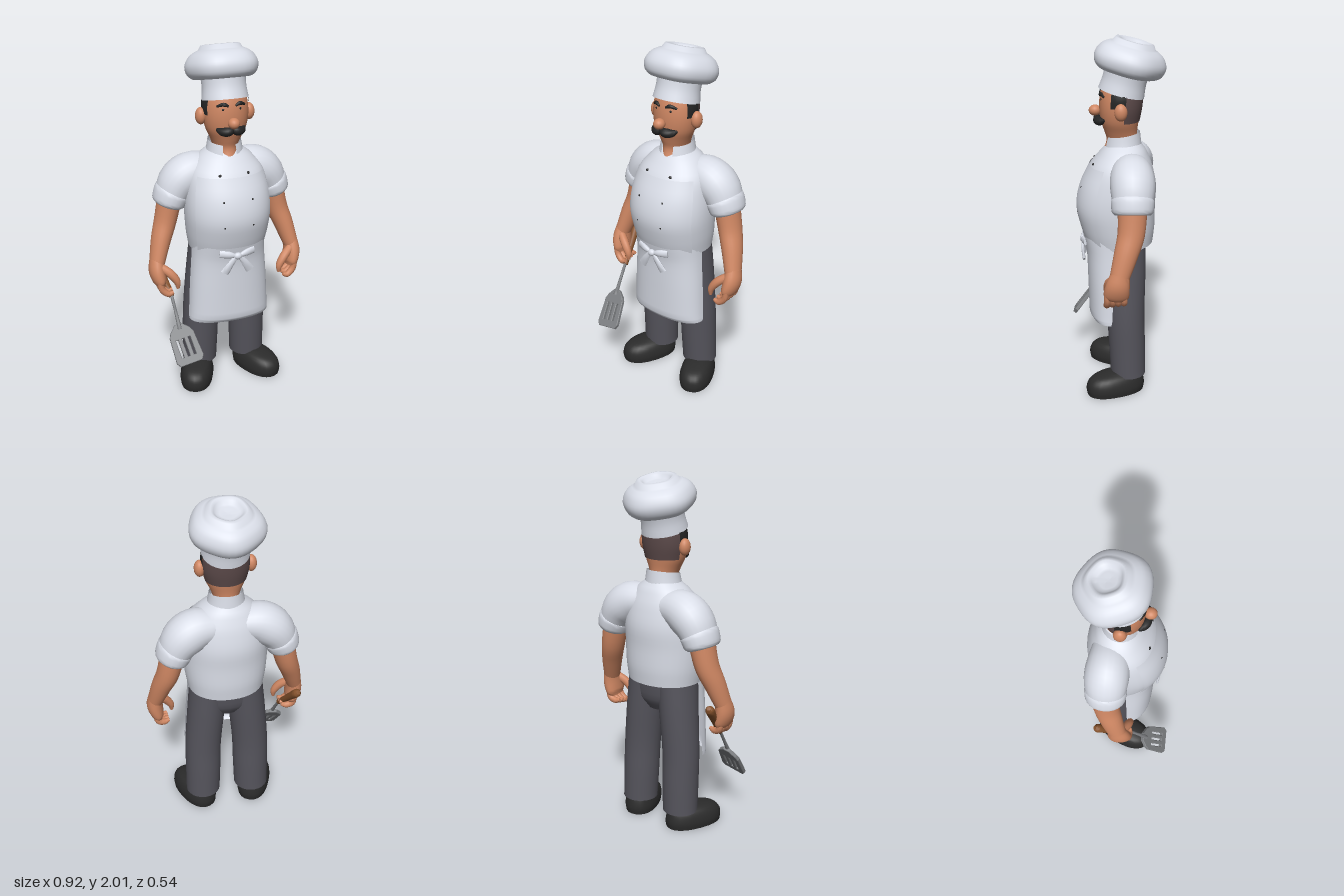
import * as THREE from 'three';
import { toCreasedNormals } from 'three/addons/utils/BufferGeometryUtils.js';

const material = (name, color, side = THREE.FrontSide) => {
  const m = new THREE.MeshStandardMaterial({ color, side });
  m.name = name;
  return m;
};
const V = (x, y, z) => new THREE.Vector3(x, y, z);

// Smooth skin through cross-sections [x, y, z, radiusU, radiusV].
// level: rings stay horizontal; arc: open part of the ring; n: squareness; lobes: waviness.
function loft(sections, { level = false, arc = null, n = 2, seg = 24, steps = 4, lobes = 0, crease = 0.9 } = {}) {
  const path = new THREE.CatmullRomCurve3(sections.map(s => V(s[0], s[1], s[2])));
  const radii = new THREE.CatmullRomCurve3(sections.map(s => V(s[3], s[4] ?? s[3], 0)), false, 'catmullrom', 0.5);
  const rings = (sections.length - 1) * steps;
  const [a0, a1] = arc ?? [0, Math.PI * 2];
  const cols = arc ? seg + 1 : seg;
  const pos = [], idx = [];
  for (let i = 0; i <= rings; i++) {
    const c = path.getPoint(i / rings), r = radii.getPoint(i / rings);
    const t = level ? V(0, 1, 0) : path.getTangent(i / rings);
    const u = t.clone().cross(V(0, 0, 1)).normalize();
    const v = t.clone().cross(u);
    for (let j = 0; j < cols; j++) {
      const a = a0 + (a1 - a0) * j / seg;
      const pw = w => Math.sign(w) * Math.abs(w) ** (2 / n) * (1 + lobes * Math.sin(5 * a));
      const p = c.clone().addScaledVector(u, pw(Math.cos(a)) * Math.max(r.x, 0.0005))
        .addScaledVector(v, pw(Math.sin(a)) * Math.max(r.y, 0.0005));
      pos.push(p.x, p.y, p.z);
    }
  }
  for (let i = 0; i < rings; i++) {
    for (let j = 0; j < seg; j++) {
      const a = i * cols + j, b = i * cols + (j + 1) % cols;
      idx.push(a, b, a + cols, b, b + cols, a + cols);
    }
  }
  if (!arc) {
    const last = rings * cols;
    for (let j = 1; j < cols - 1; j++) idx.push(0, j + 1, j, last, last + j, last + j + 1);
  }
  const g = new THREE.BufferGeometry();
  g.setAttribute('position', new THREE.Float32BufferAttribute(pos, 3));
  g.setIndex(idx);
  return toCreasedNormals(g, crease);
}

export function createModel() {
  const model = new THREE.Group();
  model.name = 'cook';
  const cloth = material('white cloth', 0xdce0ea, THREE.DoubleSide);
  const skin = material('skin', 0xcf8763);
  const trouser = material('grey trousers', 0x55545c);
  const leather = material('black leather', 0x2b2b2b);
  const dark = material('black hair', 0x252525);
  const stubble = material('short hair', 0x5c4a4a);
  const steel = material('steel', 0x7d7f82);
  const wood = material('wood', 0x85522c);

  const add = (name, geo, mat, parent = model) => {
    const m = new THREE.Mesh(geo, mat);
    m.name = name;
    parent.add(m);
    return m;
  };
  const ball = (name, mat, [x, y, z], [sx, sy, sz], parent) => {
    const m = add(name, new THREE.SphereGeometry(1, 20, 14), mat, parent);
    m.position.set(x, y, z);
    m.scale.set(sx, sy, sz);
    return m;
  };

  // Jacket
  const torso = [
    [0, 0.87, -0.03, 0.215, 0.185], [0, 0.96, -0.02, 0.23, 0.205], [0, 1.08, -0.008, 0.24, 0.218],
    [0, 1.2, -0.02, 0.235, 0.21], [0, 1.32, -0.035, 0.21, 0.17], [0, 1.4, -0.05, 0.145, 0.12], [0, 1.44, -0.055, 0.09, 0.085],
  ];
  add('jacket', loft(torso, { level: true, n: 2.15, seg: 36 }), cloth);
  const collar = add('collar', loft([[0, -0.05, 0.01, 0.112, 0.108], [0, 0, 0, 0.1, 0.1], [0, 0.045, -0.01, 0.092, 0.092]],
    { level: true, arc: [-Math.PI / 2 + 0.4, Math.PI * 1.5 - 0.4] }), cloth);
  collar.position.set(0, 1.44, -0.045);
  collar.rotation.x = 0.16;

  // Apron: bib over the belly, skirt panel and bow
  const bib = torso.slice(0, 5).map(([x, y, z, a, b]) => [x, y, z, a + 0.006, b + 0.006]);
  add('apronBib', loft(bib, { level: true, n: 2.15, arc: [-Math.PI + 0.5, -0.5] }), cloth);
  add('apronSkirt', loft([
    [0, 0.43, 0.015, 0.238, 0.115], [0, 0.455, 0.01, 0.238, 0.137], [0, 0.65, 0.005, 0.228, 0.148],
    [0, 0.82, 0, 0.215, 0.16], [0, 0.92, -0.005, 0.21, 0.186],
  ], { level: true, n: 2.3, arc: [-Math.PI, 0] }), cloth);
  const bow = new THREE.Group();
  bow.name = 'apronBow';
  model.add(bow);
  ball('knot', cloth, [0, 0.872, 0.182], [0.024, 0.02, 0.018], bow);

  // Buttons
  for (const y of [1.06, 1.2, 1.33]) {
    for (const s of [-1, 1]) {
      const z = { 1.06: 0.206, 1.2: 0.188, 1.33: 0.123 }[y];
      ball('button', dark, [s * 0.08, y, z - 0.008], [0.009, 0.009, 0.007]);
    }
  }

  // Head and face
  add('head', loft([
    [0, 1.37, -0.025, 0.06, 0.1], [0, 1.45, -0.04, 0.068, 0.085], [0, 1.5, -0.033, 0.085, 0.09], [0, 1.56, -0.027, 0.112, 0.104],
    [0, 1.63, -0.028, 0.125, 0.113], [0, 1.7, -0.033, 0.122, 0.114], [0, 1.76, -0.04, 0.108, 0.105],
  ], { level: true, seg: 32 }), skin);
  ball('nose', skin, [0, 1.615, 0.108], [0.032, 0.03, 0.034]);
  add('shortHair', loft([
    [0, 1.56, -0.03, 0.114, 0.106], [0, 1.63, -0.033, 0.128, 0.116], [0, 1.7, -0.038, 0.126, 0.117], [0, 1.74, -0.04, 0.118, 0.11],
  ], { level: true, arc: [0.2, Math.PI - 0.2] }), stubble);
  for (const [from, to] of [[-0.45, 0.25], [Math.PI - 0.25, Math.PI + 0.45]]) {
    add('sideHair', loft([[0, 1.645, -0.031, 0.13, 0.118], [0, 1.69, -0.034, 0.131, 0.12], [0, 1.735, -0.036, 0.122, 0.117]],
      { level: true, arc: [from, to], seg: 8 }), dark);
  }

  // Tall hat, tipped backwards
  const hat = new THREE.Group();
  hat.name = 'hat';
  hat.position.set(0, 1.712, -0.035);
  hat.rotation.x = -0.25;
  model.add(hat);
  add('hatBand', loft([[0, 0, 0, 0.128], [0, 0.07, 0, 0.12], [0, 0.15, 0, 0.125]], { level: true, seg: 32 }), cloth, hat);
  add('hatPuff', loft([
    [0, 0.125, 0, 0.115], [0, 0.11, 0, 0.15], [0, 0.135, 0, 0.187], [0, 0.185, 0, 0.197], [0, 0.235, 0, 0.17],
    [0, 0.263, 0, 0.12], [0, 0.263, 0, 0.06], [0, 0.258, 0, 0.001],
  ], { level: true, seg: 40, lobes: 0.025, crease: 1.5 }), cloth, hat);

  // Hips
  add('hips', loft([[0, 0.7, -0.06, 0.1, 0.07], [0, 0.77, -0.055, 0.19, 0.115], [0, 0.92, -0.045, 0.205, 0.14]], { level: true }), trouser);

  // Everything that comes in pairs
  for (const s of [-1, 1]) {
    const limb = (name, pts, mat, opt, parent) => add(name, loft(pts.map(([x, ...r]) => [x * s, ...r]), opt), mat, parent);

    limb('trouserLeg', [
      [0.15, 0.1, -0.08, 0.102, 0.1], [0.146, 0.28, -0.073, 0.105, 0.104], [0.142, 0.45, -0.065, 0.106, 0.106],
      [0.12, 0.7, -0.057, 0.108, 0.118], [0.1, 0.9, -0.045, 0.108, 0.13],
    ], trouser, { level: true });
    const shoe = add('shoe', loft([
      [0, 0, 0, 0.094, 0.168], [0, 0.035, 0, 0.098, 0.173], [0, 0.075, -0.002, 0.091, 0.165],
      [0, 0.105, -0.015, 0.075, 0.14], [0, 0.125, -0.045, 0.045, 0.08],
    ], { level: true, n: 2.3 }), leather);
    shoe.position.set(s * 0.19, 0, -0.007);
    shoe.rotation.y = s * 0.4;

    limb('sleeve', [
      [0.08, 1.31, -0.09, 0.09, 0.1], [0.18, 1.295, -0.095, 0.114, 0.117], [0.25, 1.25, -0.1, 0.113, 0.12], [0.305, 1.16, -0.1, 0.09, 0.105],
    ], cloth);
    limb('sleeveCuff', [
      [0.282, 1.205, -0.1, 0.09, 0.1], [0.29, 1.19, -0.1, 0.101, 0.115], [0.312, 1.135, -0.1, 0.094, 0.11], [0.317, 1.12, -0.1, 0.08, 0.095],
    ], cloth);
    limb('arm', [
      [0.3, 1.18, -0.1, 0.07, 0.08], [0.337, 1.02, -0.093, 0.063, 0.073], [0.372, 0.92, -0.067, 0.056, 0.065], [0.41, 0.79, -0.03, 0.043, 0.052],
    ], skin);

    // Hand with curled fingers
    const hand = new THREE.Group();
    hand.name = 'hand';
    model.add(hand);
    limb('palm', [
      [0.408, 0.82, -0.038, 0.04, 0.05], [0.412, 0.75, -0.023, 0.046, 0.065], [0.4, 0.69, -0.015, 0.038, 0.068], [0.39, 0.665, -0.012, 0.022, 0.05],
    ], skin, {}, hand);
    for (let f = 0; f < 4; f++) {
      const z = 0.032 - f * 0.03;
      limb('finger', [
        [0.41, 0.71, z, 0.018], [0.4, 0.655, z, 0.019], [0.365, 0.622 + f * 0.006, z + 0.005, 0.018], [0.335, 0.63 + f * 0.006, z + 0.008, 0.01],
      ], skin, { seg: 10 }, hand);
    }
    limb('thumb', [
      [0.395, 0.78, 0, 0.024], [0.345, 0.74, 0.026, 0.025], [0.312, 0.69, 0.036, 0.02], [0.308, 0.65, 0.038, 0.009],
    ], skin, { seg: 12 }, hand);

    // Face details
    ball('ear', skin, [s * 0.138, 1.63, -0.035], [0.03, 0.047, 0.035]);
    ball('eye', dark, [s * 0.045, 1.683, 0.07], [0.01, 0.009, 0.006]);
    limb('eyebrow', [[0.02, 1.702, 0.08, 0.006], [0.045, 1.712, 0.073, 0.011], [0.078, 1.7, 0.055, 0.006]], dark, { seg: 8 });
    limb('moustache', [
      [0, 1.578, 0.093, 0.016], [0.025, 1.567, 0.093, 0.025], [0.055, 1.565, 0.076, 0.022], [0.08, 1.575, 0.055, 0.007],
    ], dark, { seg: 12 });

    // Bow loop and tail
    limb('bowLoop', [[0.01, 0.872, 0.18, 0.01], [0.05, 0.883, 0.178, 0.02, 0.013], [0.1, 0.887, 0.162, 0.022, 0.01]], cloth, { seg: 12 }, bow);
    limb('bowTail', [[0.01, 0.87, 0.182, 0.012, 0.008], [0.045, 0.82, 0.18, 0.02, 0.009], [0.075, 0.772, 0.172, 0.026, 0.008]], cloth, { seg: 12 }, bow);
  }

  // Spatula in the right hand
  const spatula = new THREE.Group();
  spatula.name = 'spatula';
  model.add(spatula);
  add('handle', loft([
    [-0.402, 0.81, -0.16, 0.012], [-0.398, 0.795, -0.145, 0.025], [-0.372, 0.7, -0.06, 0.02], [-0.345, 0.6, 0.03, 0.016],
  ], { seg: 14 }), wood, spatula);
  add('rod', loft([[-0.346, 0.61, 0.025, 0.009], [-0.338, 0.52, 0.085, 0.009], [-0.332, 0.44, 0.137, 0.013]], { seg: 10 }), steel, spatula);
  const outline = new THREE.Shape([[-0.02, -0.015], [0.02, -0.015], [0.055, 0.02], [0.068, 0.045], [0.077, 0.19], [0.062, 0.212],
    [-0.062, 0.212], [-0.077, 0.19], [-0.068, 0.045], [-0.055, 0.02]].map(p => new THREE.Vector2(...p)));
  for (const x of [-0.036, 0, 0.036]) {
    outline.holes.push(new THREE.Path([[-0.01, 0.065], [-0.01, 0.175], [0.01, 0.175], [0.01, 0.065]]
      .map(([a, b]) => new THREE.Vector2(x + a, b))));
  }
  const blade = add('blade', new THREE.ExtrudeGeometry(outline, { depth: 0.016, bevelEnabled: true, bevelSize: 0.003, bevelThickness: 0.003, bevelSegments: 1 }), steel, spatula);
  const along = V(0.035, -0.175, 0.135).normalize();
  const across = V(1, 0.2, 0).addScaledVector(along, -V(1, 0.2, 0).dot(along)).normalize();
  blade.quaternion.setFromRotationMatrix(new THREE.Matrix4().makeBasis(across, along, across.clone().cross(along)));
  blade.position.set(-0.335, 0.45, 0.13);

  return model;
}
